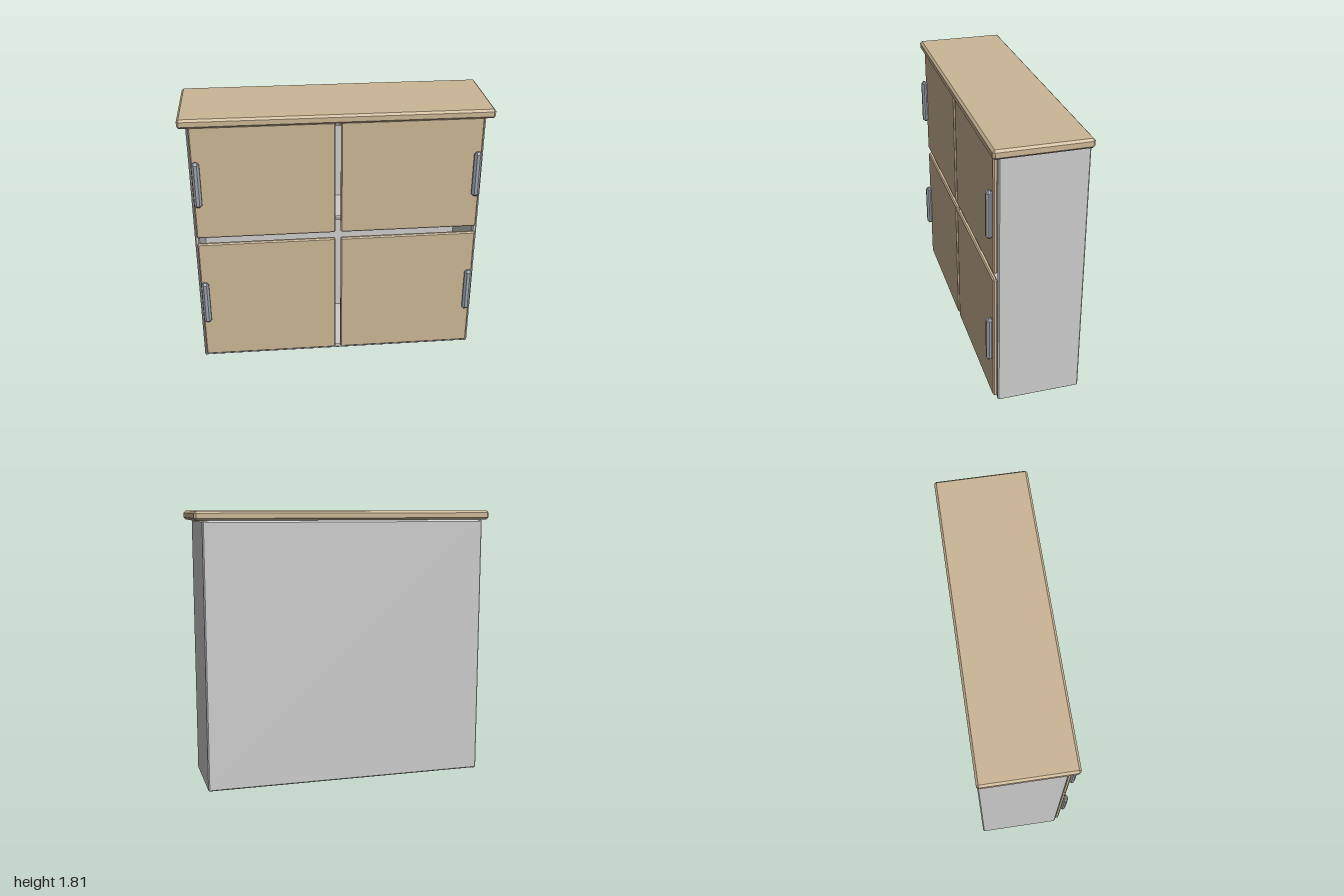
import * as THREE from 'three';
import { ConvexGeometry } from 'three/addons/geometries/ConvexGeometry.js';

const grey = new THREE.MeshStandardMaterial({ color: 0xcccccc });
const wood = new THREE.MeshStandardMaterial({ color: 0xcbb595 });
const metal = new THREE.MeshStandardMaterial({ color: 0x9ca3ab });

// Box between two corners with every edge chamfered by c
function chamferBox(name, material, [x0, y0, z0], [x1, y1, z1], c) {
  const half = [(x1 - x0) / 2, (y1 - y0) / 2, (z1 - z0) / 2];
  const points = [];
  for (const sx of [-1, 1]) for (const sy of [-1, 1]) for (const sz of [-1, 1]) {
    for (let axis = 0; axis < 3; axis++) {
      const p = half.map((h, i) => (i === axis ? h : h - c));
      points.push(new THREE.Vector3(sx * p[0], sy * p[1], sz * p[2]));
    }
  }
  const mesh = new THREE.Mesh(new ConvexGeometry(points), material);
  mesh.position.set((x0 + x1) / 2, (y0 + y1) / 2, (z0 + z1) / 2);
  mesh.name = name;
  return mesh;
}

export function createModel() {
  const cabinet = new THREE.Group();
  cabinet.name = 'cabinet';
  const add = (...args) => cabinet.add(chamferBox(...args));

  // Hollow carcass: floor, ceiling, back and a recessed shelf
  add('bottomPanel', grey, [-0.94, 0, -0.3], [0.94, 0.03, 0.242], 0.007);
  add('topPanel', grey, [-0.94, 1.72, -0.3], [0.94, 1.75, 0.242], 0.007);
  add('backPanel', grey, [-0.945, 0.002, -0.305], [0.945, 1.745, -0.28], 0.007);
  add('shelf', grey, [-0.92, 0.945, -0.285], [0.92, 0.975, 0.05], 0.007);

  // Overhanging worktop
  add('worktop', wood, [-1, 1.75, -0.31], [1, 1.81, 0.292], 0.014);

  // Sides, and two rows of doors with bar handles at the outer edges
  const rows = [
    { name: 'lower', y0: 0.03, y1: 0.925, h0: 0.32 },
    { name: 'upper', y0: 0.97, y1: 1.755, h0: 1.21 },
  ];
  for (const [side, s] of [['left', 1], ['right', -1]]) {
    const span = (a, b) => (s > 0 ? [a, b] : [-b, -a]);
    const [w0, w1] = span(0.92, 0.95);
    add(side + 'SidePanel', grey, [w0, 0, -0.305], [w1, 1.75, 0.245], 0.008);
    for (const { name, y0, y1, h0 } of rows) {
      const [d0, d1] = span(0.018, 0.935);
      add(`${name}${side}Door`, wood, [d0, y0, 0.243], [d1, y1, 0.272], 0.008);
      const [b0, b1] = span(0.88, 0.93);
      add(`${name}${side}Handle`, metal, [b0, h0, 0.268], [b1, h0 + 0.315, 0.31], 0.015);
    }
  }
  return cabinet;
}
